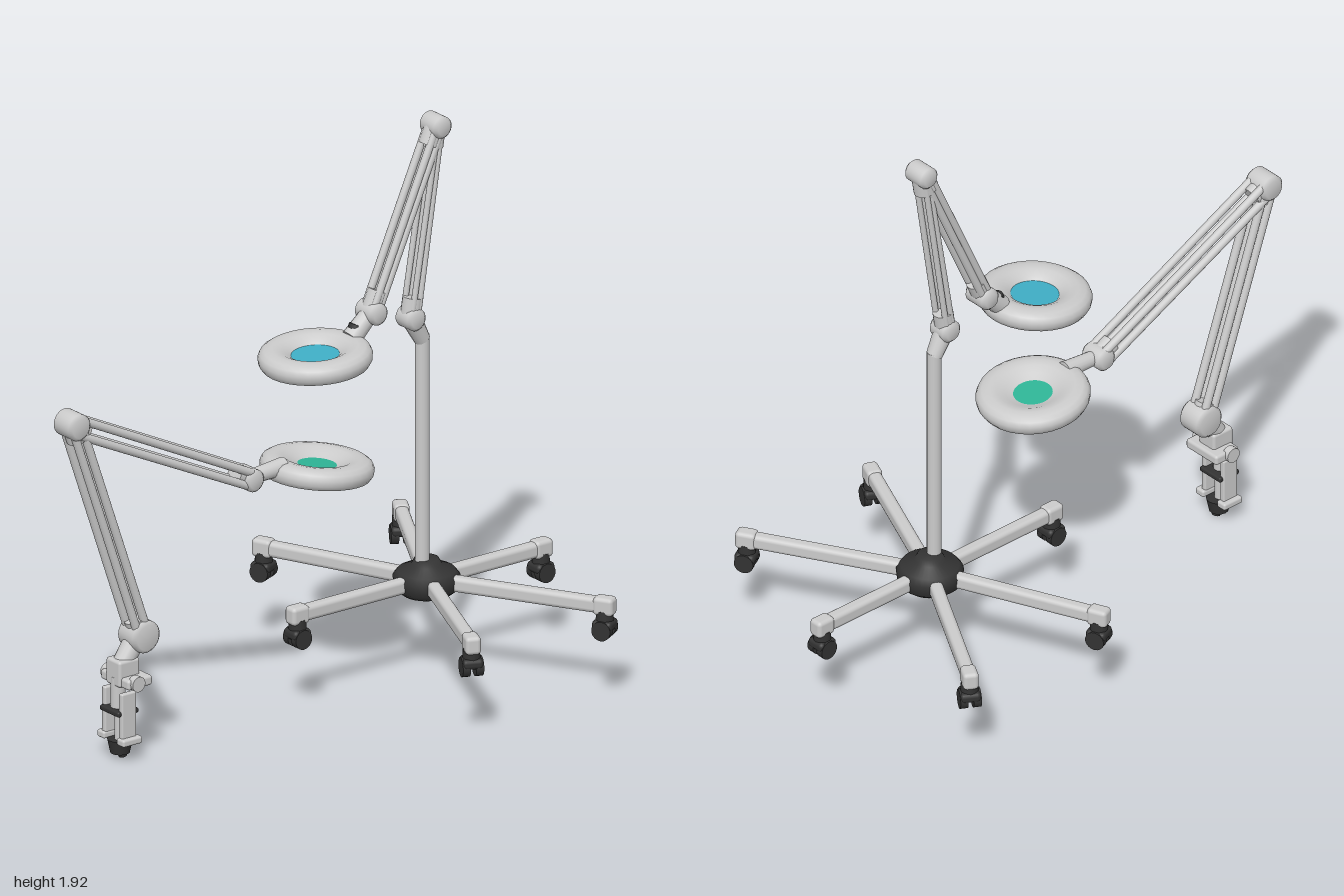
import * as THREE from 'three';
import { RoundedBoxGeometry } from 'three/addons/geometries/RoundedBoxGeometry.js';

const mat = (name, color) => Object.assign(new THREE.MeshStandardMaterial({ color }), { name });

export function createModel() {
  const enamel = mat('pale grey enamel', 0xcbcbcb);
  const rubber = mat('dark rubber', 0x333333);
  const blue = mat('blue lens', 0x3faec6);
  const green = mat('green lens', 0x2fb596);
  const V = (x, y, z = 0) => new THREE.Vector3(x, y, z);
  const model = new THREE.Group();
  model.name = 'magnifierLamps';

  const group = (name, parent = model) => {
    const g = new THREE.Group();
    g.name = name;
    parent.add(g);
    return g;
  };
  const add = (parent, name, geo, material, p = V(0, 0)) => {
    const m = new THREE.Mesh(geo, material);
    m.name = name;
    m.position.copy(p);
    parent.add(m);
    return m;
  };
  // Round bar between two points, r1 at the start and r2 at the end
  const bar = (parent, name, a, b, r1, r2 = r1, material = enamel) => {
    const d = b.clone().sub(a);
    const m = add(parent, name, new THREE.CylinderGeometry(r2, r1, d.length(), 16), material,
      a.clone().add(b).multiplyScalar(0.5));
    m.quaternion.setFromUnitVectors(V(0, 1), d.normalize());
    return m;
  };
  const box = (parent, name, w, h, d, p, material = enamel, r = 0.01) =>
    add(parent, name, new RoundedBoxGeometry(w, h, d, 2, r), material, p);
  const turned = (parent, name, pts, material, p) =>
    add(parent, name, new THREE.LatheGeometry(pts.map(q => new THREE.Vector2(...q)), 32), material, p);

  // Hinge drum lying along z with softened edges
  const hinge = (parent, name, p, r, half) => {
    const e = 0.012;
    turned(parent, name, [[0, -half], [r - e, -half], [r, -half + e], [r, half - e], [r - e, half], [0, half]],
      enamel, p).rotation.x = Math.PI / 2;
  };
  // Four parallel rails: gap is the in-plane offset, zOff the sideways one
  const arm = (parent, name, a, b, gapA, gapB, zOff, r) => {
    const g = group(name, parent);
    const d = b.clone().sub(a).normalize();
    const n = V(-d.y, d.x);
    for (const s of [-1, 1]) for (const z of [-zOff, zOff])
      bar(g, 'rail', a.clone().addScaledVector(n, s * gapA).setZ(z),
        b.clone().addScaledVector(n, s * gapB).setZ(z), r);
    // end blocks gripping the rails
    bar(g, 'startSocket', a, a.clone().addScaledVector(d, 0.06), 0.034);
    bar(g, 'endSocket', b, b.clone().addScaledVector(d, -0.06), 0.034);
  };
  // Ring-shaped lamp head with a recessed lens
  const head = (name, p, tilt, lensR, topLens) => {
    const g = group(name);
    g.position.copy(p);
    g.rotation.z = tilt;
    turned(g, 'ringHousing', [[lensR, -0.01], [0.11, -0.016], [0.145, -0.03], [0.162, -0.037], [0.176, -0.033],
      [0.185, -0.018], [0.187, 0], [0.18, 0.016], [0.165, 0.026], [0.14, 0.031], [0.115, 0.027],
      [0.09, 0.014], [lensR, 0.002]], enamel);
    const disc = new THREE.CylinderGeometry(lensR + 0.004, lensR + 0.004, 0.006, 28);
    add(g, 'lensTop', disc, topLens, V(0, 0));
    add(g, 'lensUnderside', disc, green, V(0, -0.007));
    return g;
  };

  // ---- Floor stand lamp ----
  const stand = group('floorStand');
  const hub = V(0.49, 0.33);
  turned(stand, 'hub', [[0, -0.055], [0.08, -0.055], [0.105, -0.035], [0.11, 0.005], [0.095, 0.025],
    [0.05, 0.045], [0.04, 0.065], [0, 0.065]], rubber, hub);
  const feet = [[0.955, 0], [-0.035, 0], [0.8, 0.54], [0.8, -0.54], [0.25, 0.55], [0.25, -0.55]];
  for (const [x, z] of feet) {
    const leg = group('leg', stand);
    const dx = x - hub.x, dz = z, len = Math.hypot(dx, dz);
    leg.position.set(hub.x, 0, 0);
    leg.rotation.y = Math.atan2(-dz, dx);
    box(leg, 'legBeam', len - 0.03, 0.052, 0.044, V(len / 2 + 0.035, 0.322), enamel, 0.015);
    box(leg, 'legEnd', 0.07, 0.062, 0.052, V(len, 0.322), enamel, 0.014);
    // caster
    add(leg, 'casterStem', new THREE.CylinderGeometry(0.028, 0.03, 0.05, 16), rubber, V(len, 0.282));
    for (const s of [-1, 1]) {
      const wheel = new THREE.CylinderGeometry(0.033, 0.033, 0.026, 18);
      add(leg, 'casterWheel', wheel, rubber, V(len, 0.243, s * 0.022)).rotation.x = Math.PI / 2;
    }
    box(leg, 'casterHood', 0.07, 0.035, 0.07, V(len, 0.258), rubber, 0.014);
  }
  bar(stand, 'pole', V(0.472, 0.37), V(0.472, 1.17), 0.024);

  const upper = group('standArms');
  bar(upper, 'poleElbow', V(0.472, 1.155), V(0.428, 1.235), 0.027, 0.034);
  hinge(upper, 'lowerHinge', V(0.425, 1.24), 0.038, 0.042);
  arm(upper, 'lowerArm', V(0.425, 1.25), V(0.525, 1.87), 0.012, 0.008, 0.023, 0.01);
  hinge(upper, 'topHinge', V(0.527, 1.882), 0.037, 0.048);
  arm(upper, 'upperArm', V(0.522, 1.875), V(0.268, 1.31), 0.012, 0.012, 0.022, 0.013);
  hinge(upper, 'headHinge', V(0.265, 1.298), 0.037, 0.05);
  bar(upper, 'headBracket', V(0.26, 1.295), V(0.185, 1.225), 0.03, 0.034);
  bar(upper, 'bracketKnob', V(0.192, 1.235), V(0.205, 1.268), 0.026, 0.024, rubber);
  head('standHead', V(0.037, 1.2), 0.06, 0.078, blue);

  // ---- Clamp lamp ----
  const clampArms = group('clampArms');
  const base = V(-0.68, 0.405), top = V(-0.952, 1.19), wrist = V(-0.237, 0.84);
  hinge(clampArms, 'baseHinge', base, 0.055, 0.05);
  arm(clampArms, 'lowerArm', base, top, 0.018, 0.018, 0.026, 0.014);
  hinge(clampArms, 'topHinge', top, 0.045, 0.05);
  arm(clampArms, 'upperArm', top, wrist, 0.025, 0.022, 0.028, 0.014);
  hinge(clampArms, 'headHinge', wrist, 0.038, 0.048);
  bar(clampArms, 'headBracket', wrist, V(-0.09, 0.848), 0.024, 0.03);
  head('clampHead', V(0.045, 0.82), -0.1, 0.062, green);

  // table clamp with its jaws and screw
  const clamp = group('tableClamp');
  bar(clamp, 'neck', V(-0.695, 0.39), V(-0.75, 0.315), 0.036, 0.034);
  box(clamp, 'upperBlock', 0.085, 0.09, 0.075, V(-0.745, 0.295));
  box(clamp, 'upperJaw', 0.1, 0.035, 0.15, V(-0.73, 0.268));
  for (const s of [-1, 1]) {
    bar(clamp, 'jawKnob', V(-0.745, 0.27, s * 0.06), V(-0.745, 0.27, s * 0.086), 0.026);
    box(clamp, 'sideRail', 0.06, 0.17, 0.02, V(-0.76, 0.15, s * 0.045), enamel, 0.006);
    box(clamp, 'railFoot', 0.08, 0.025, 0.04, V(-0.758, 0.07, s * 0.052), enamel, 0.008);
  }
  bar(clamp, 'post', V(-0.765, 0.16), V(-0.765, 0.28), 0.024);
  box(clamp, 'pressurePlate', 0.085, 0.018, 0.1, V(-0.76, 0.165), rubber, 0.006);
  bar(clamp, 'screw', V(-0.76, 0.05), V(-0.76, 0.16), 0.016);
  bar(clamp, 'screwKnob', V(-0.757, 0.015), V(-0.757, 0.062), 0.032, 0.042, rubber);
  bar(clamp, 'screwTip', V(-0.745, 0), V(-0.75, 0.02), 0.014, 0.02, rubber);

  return model;
}
